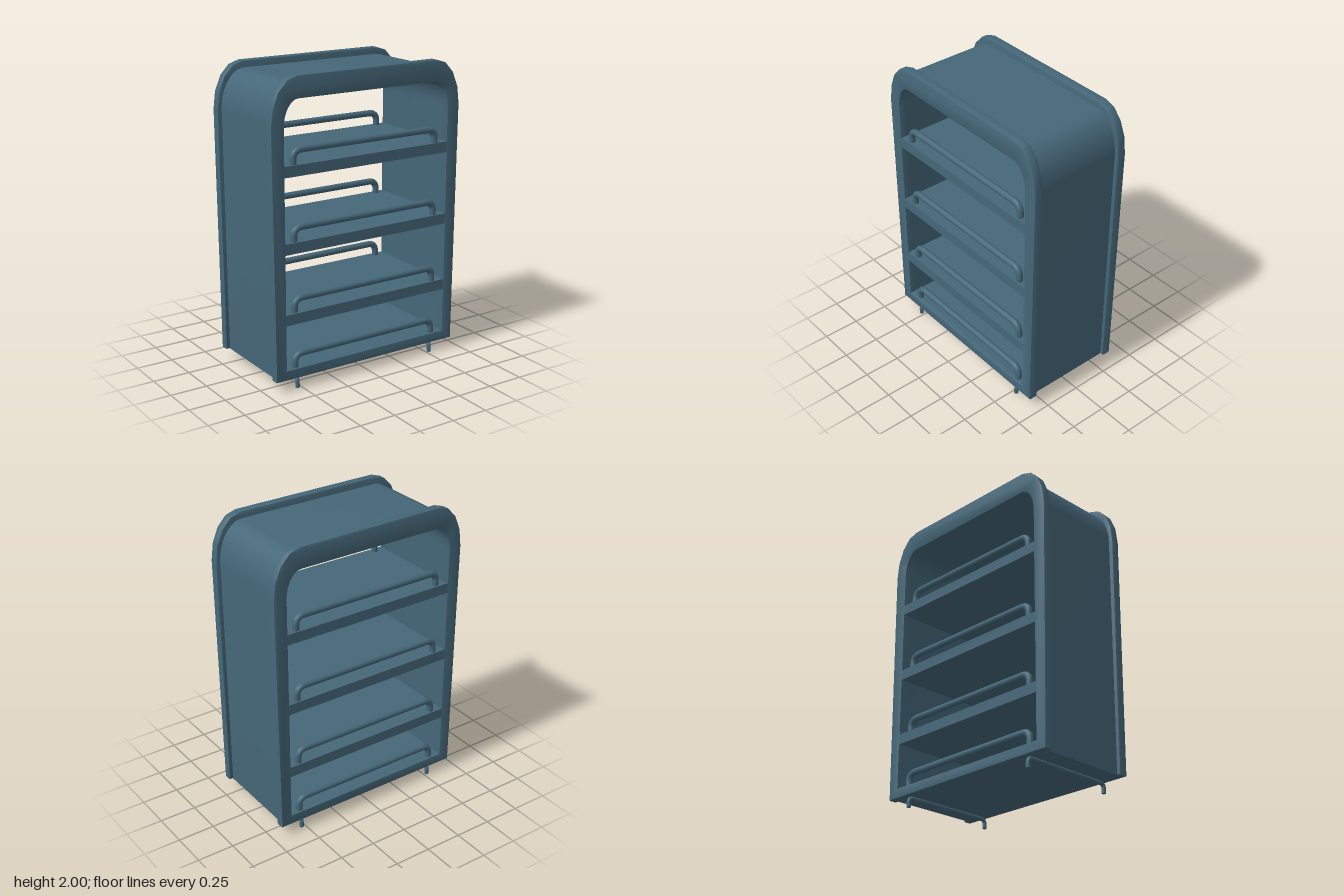
import * as THREE from 'three';
import { toCreasedNormals } from 'three/addons/utils/BufferGeometryUtils.js';

const paint = new THREE.MeshStandardMaterial({ color: 0x456778 });
paint.name = 'slate blue';

function part(geometry, name, x = 0, y = 0, z = 0) {
  const mesh = new THREE.Mesh(geometry, paint);
  mesh.name = name;
  mesh.position.set(x, y, z);
  return mesh;
}

// Arched outline given by its right half, mirrored to the left
function mirrored(half) {
  return [...half, ...half.slice().reverse().map(([x, y]) => [-x, y])]
    .map(([x, y]) => new THREE.Vector2(x, y));
}

// Quarter ellipse from the side (x1, y0) up to the top (x0, y1)
function corner(x0, y0, x1, y1, n) {
  const points = [];
  for (let i = 0; i <= n; i++) {
    const a = (i / n) * Math.PI / 2;
    points.push([x0 + (x1 - x0) * Math.cos(a), y0 + (y1 - y0) * Math.sin(a)]);
  }
  return points;
}

// Closed arch ring, extruded along z and centred on z = 0
function archRing(half, depth, bevel) {
  const shape = new THREE.Shape(mirrored(half));
  const inner = [[0.615, 0.14], ...corner(0.51, 1.69, 0.615, 1.86, 8)];
  shape.holes.push(new THREE.Path(mirrored(inner)));
  const geometry = new THREE.ExtrudeGeometry(shape, {
    depth: depth - 2 * bevel, bevelEnabled: bevel > 0, bevelThickness: bevel,
    bevelSize: bevel, bevelOffset: -bevel, bevelSegments: 2,
  });
  geometry.translate(0, 0, bevel - depth / 2);
  return toCreasedNormals(geometry, 0.6);
}

// Staple-shaped rod in the xy plane with rounded bends
function staple(halfWidth, height, bend, radius) {
  const path = new THREE.CurvePath();
  const v = (x, y) => new THREE.Vector3(x, y, 0);
  const w = halfWidth, h = height, b = bend;
  path.add(new THREE.LineCurve3(v(-w, 0), v(-w, h - b)));
  path.add(new THREE.QuadraticBezierCurve3(v(-w, h - b), v(-w, h), v(-w + b, h)));
  path.add(new THREE.LineCurve3(v(-w + b, h), v(w - b, h)));
  path.add(new THREE.QuadraticBezierCurve3(v(w - b, h), v(w, h), v(w, h - b)));
  path.add(new THREE.LineCurve3(v(w, h - b), v(w, 0)));
  return new THREE.TubeGeometry(path, 100, radius, 12);
}

// Flat end discs for the two legs of a staple
function rod(geometry, halfWidth, radius, name) {
  const group = new THREE.Group();
  group.name = name;
  group.add(part(geometry, 'rod'));
  const cap = new THREE.CircleGeometry(radius, 12).rotateX(Math.PI / 2);
  for (const s of [-1, 1]) group.add(part(cap, 'rodEnd', s * halfWidth));
  return group;
}

export function createModel() {
  const model = new THREE.Group();
  model.name = 'shelfUnit';

  // Shell between the two end frames
  const shell = [[0.665, 0.075], ...corner(0.51, 1.70, 0.678, 1.955, 12)];
  model.add(part(archRing(shell, 0.62, 0), 'shell'));

  // Thicker frames at front and back
  const outer = [[0.69, 0.075], ...corner(0.52, 1.70, 0.707, 2.0, 4)];
  const frame = archRing(outer, 0.06, 0.006);
  model.add(part(frame, 'frontFrame', 0, 0, 0.329));
  model.add(part(frame, 'backFrame', 0, 0, -0.329));

  // Shelves
  const shelf = new THREE.BoxGeometry(1.24, 0.07, 0.714);
  for (const top of [0.51, 0.97, 1.457]) model.add(part(shelf, 'shelf', 0, top - 0.035, 0));

  // Guard rails on each level, front and back
  const rail = staple(0.537, 0.087, 0.06, 0.022);
  for (const top of [0.14, 0.51, 0.97, 1.457]) {
    for (const side of [1, -1]) {
      const guard = rod(rail, 0.537, 0.022, side > 0 ? 'frontRail' : 'backRail');
      guard.position.set(0, top, side * 0.325);
      model.add(guard);
    }
  }

  // Wire feet running front to back
  const foot = staple(0.333, 0.062, 0.03, 0.014);
  for (const side of [1, -1]) {
    const feet = rod(foot, 0.333, 0.014, side > 0 ? 'leftFoot' : 'rightFoot');
    feet.rotation.y = Math.PI / 2;
    feet.position.x = side * 0.525;
    model.add(feet);
  }

  return model;
}
